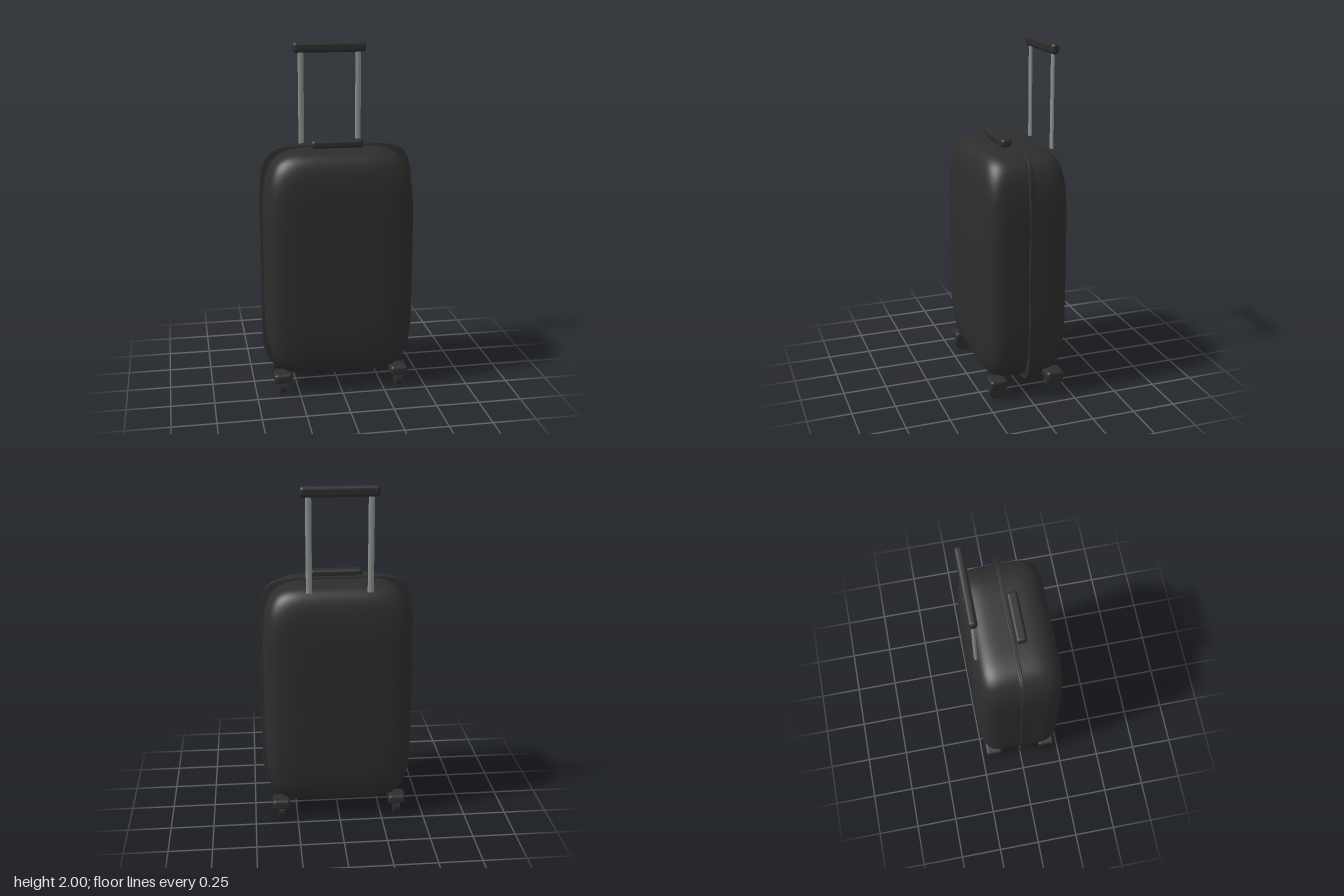
import * as THREE from 'three';
import { toCreasedNormals } from 'three/addons/utils/BufferGeometryUtils.js';
import { RoundedBoxGeometry } from 'three/addons/geometries/RoundedBoxGeometry.js';

const black = new THREE.MeshStandardMaterial({ name: 'black shell', color: 0x2d2d2d });
const metal = new THREE.MeshStandardMaterial({ name: 'grey metal', color: 0x8a908d });

// Soft box: a subdivided box pushed onto a superellipsoid, with exact smooth normals
function softBox(a, b, c, p) {
  const geo = new THREE.BoxGeometry(2, 2, 2, 32, 32, 32);
  const pos = geo.attributes.position;
  const nor = geo.attributes.normal;
  const v = new THREE.Vector3();
  const slope = (t) => Math.sign(t) * Math.abs(t) ** (p - 1);
  for (let i = 0; i < pos.count; i++) {
    v.fromBufferAttribute(pos, i);
    const len = (Math.abs(v.x) ** p + Math.abs(v.y) ** p + Math.abs(v.z) ** p) ** (1 / p);
    v.divideScalar(len);
    pos.setXYZ(i, v.x * a, v.y * b, v.z * c);
    v.set(slope(v.x) / a, slope(v.y) / b, slope(v.z) / c).normalize();
    nor.setXYZ(i, v.x, v.y, v.z);
  }
  return geo;
}

// Thin plate with a superellipse outline and a small bevel
function seamPlate(a, b, depth, p) {
  const bevel = 0.004;
  const power = (t) => Math.sign(t) * Math.abs(t) ** (2 / p);
  const points = [];
  for (let i = 0; i < 96; i++) {
    const t = ((i + 0.5) / 96) * Math.PI * 2;
    points.push(new THREE.Vector2((a - bevel) * power(Math.cos(t)), (b - bevel) * power(Math.sin(t))));
  }
  const geo = new THREE.ExtrudeGeometry(new THREE.Shape(points), {
    depth: depth - 2 * bevel, bevelSize: bevel, bevelThickness: bevel, bevelSegments: 2,
  });
  geo.translate(0, 0, bevel - depth / 2);
  return toCreasedNormals(geo, 0.6);
}

export function createModel() {
  const model = new THREE.Group();
  model.name = 'suitcase';
  const add = (name, geo, mat, x, y, z, parent = model) => {
    const mesh = new THREE.Mesh(geo, mat);
    mesh.name = name;
    mesh.position.set(x, y, z);
    parent.add(mesh);
    return mesh;
  };

  // Case and the seam running round its middle
  add('shell', softBox(0.43, 0.67, 0.256, 5.4), black, 0, 0.76, 0);
  add('seam', seamPlate(0.447, 0.682, 0.024, 7.5), black, 0, 0.76, -0.001);

  // Carry handle on top
  add('carryHandle', new RoundedBoxGeometry(0.30, 0.048, 0.062, 3, 0.018), black, 0, 1.451, 0.043);

  // Telescopic handle
  const pull = new THREE.Group();
  pull.name = 'pullHandle';
  model.add(pull);
  add('grip', new RoundedBoxGeometry(0.432, 0.06, 0.046, 3, 0.019), black, 0, 1.97, -0.216, pull);
  for (const side of [-1, 1]) {
    const pole = add('pole', new THREE.CylinderGeometry(0.017, 0.017, 0.54, 16), metal, side * 0.17, 1.68, -0.215, pull);
    pole.scale.z = 0.58;
  }

  // Four casters, each a mount and a wheel
  const mountGeo = new RoundedBoxGeometry(0.104, 0.058, 0.104, 2, 0.018);
  const wheelGeo = new THREE.CylinderGeometry(0.047, 0.047, 0.038, 24);
  wheelGeo.rotateZ(Math.PI / 2);
  for (const x of [-0.346, 0.346]) {
    for (const z of [-0.172, 0.174]) {
      const caster = new THREE.Group();
      caster.name = 'caster';
      caster.position.set(x, 0, z);
      model.add(caster);
      add('wheelMount', mountGeo, black, 0, 0.1, 0, caster);
      add('wheel', wheelGeo, black, 0, 0.047, 0, caster);
    }
  }
  return model;
}
